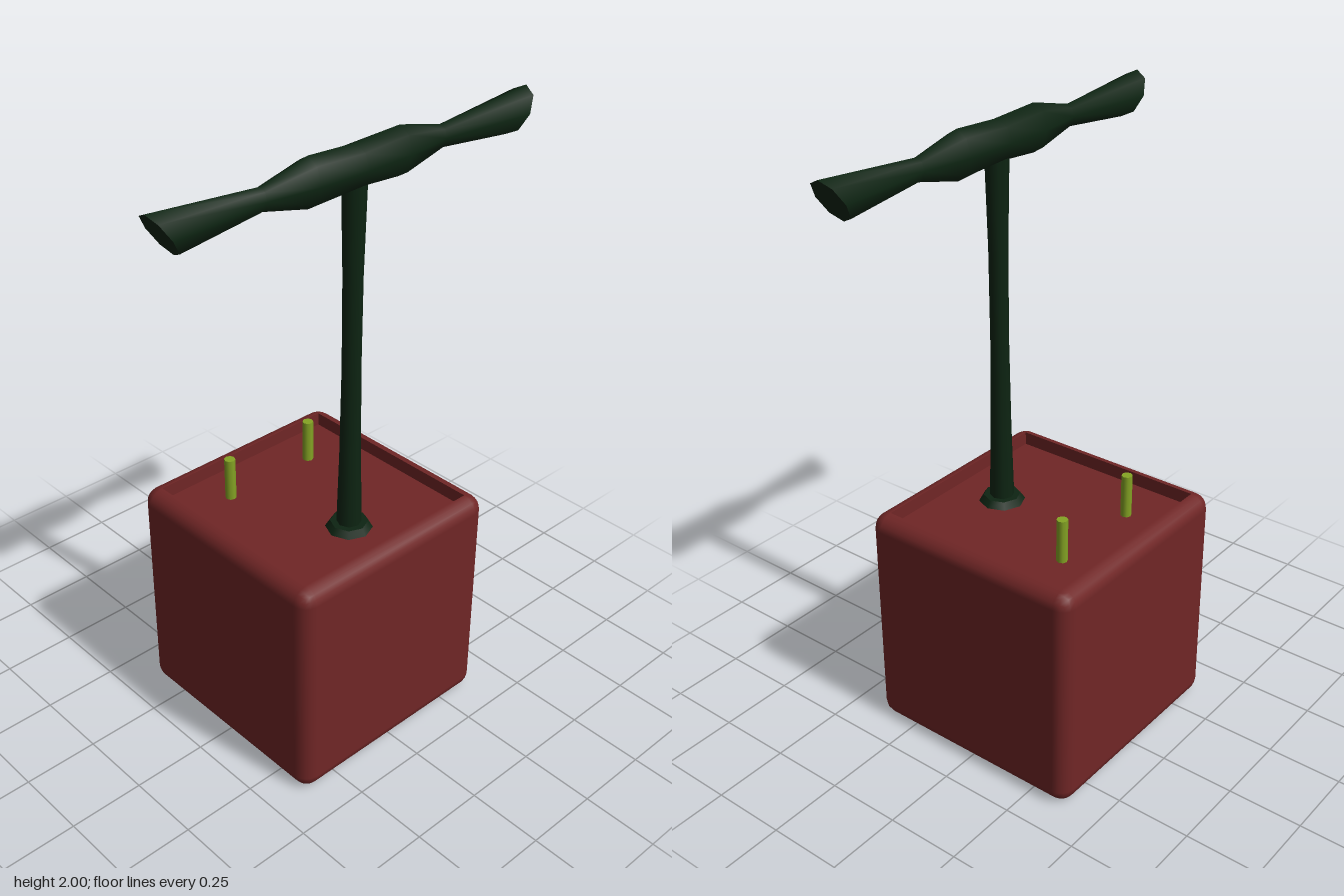
import * as THREE from 'three';
import { RoundedBoxGeometry } from 'three/addons/geometries/RoundedBoxGeometry.js';

const HALF = 0.39, RIM = 0.34, TOP = 0.78, FLOOR = 0.735;
const POST_X = 0.167;

const red = new THREE.MeshStandardMaterial({ color: 0x702626 });
red.name = 'dark red';
const green = new THREE.MeshStandardMaterial({ color: 0x0d2412 });
green.name = 'dark green';
const lime = new THREE.MeshStandardMaterial({ color: 0x84a324 });
lime.name = 'lime green';

function add(parent, name, geometry, material, x = 0, y = 0, z = 0) {
  const mesh = new THREE.Mesh(geometry, material);
  mesh.name = name;
  mesh.position.set(x, y, z);
  parent.add(mesh);
  return mesh;
}

// Bevelled cube whose flat top panel is removed to open the recess
function openBox() {
  const source = new RoundedBoxGeometry(HALF * 2, TOP, HALF * 2, 2, HALF - RIM);
  const p = source.attributes.position, n = source.attributes.normal;
  const positions = [], normals = [];
  for (let i = 0; i < p.count; i += 3) {
    if ([0, 1, 2].every((k) => p.getY(i + k) > HALF - 0.0001)) continue;
    for (let k = i; k < i + 3; k++) {
      positions.push(p.getX(k), p.getY(k), p.getZ(k));
      normals.push(n.getX(k), n.getY(k), n.getZ(k));
    }
  }
  const g = new THREE.BufferGeometry();
  g.setAttribute('position', new THREE.Float32BufferAttribute(positions, 3));
  g.setAttribute('normal', new THREE.Float32BufferAttribute(normals, 3));
  return g;
}

// Eight-sided grip along z; stations are [z, centreY, halfWidth, halfHeight, slant]
function gripGeometry(stations, sides = 8) {
  const positions = [], index = [];
  const ring = ([z, cy, rx, ry, slant]) => {
    const start = positions.length / 3;
    for (let j = 0; j < sides; j++) {
      const a = (j / sides) * Math.PI * 2;
      positions.push(rx * Math.cos(a), cy + ry * Math.sin(a), z + slant * Math.sin(a));
    }
    return start;
  };
  const starts = stations.map(ring);
  for (let i = 0; i + 1 < starts.length; i++) {
    for (let j = 0; j < sides; j++) {
      const k = (j + 1) % sides;
      const a = starts[i] + j, b = starts[i] + k, c = starts[i + 1] + k, d = starts[i + 1] + j;
      index.push(a, b, c, a, c, d);
    }
  }
  // Slanted end caps with their own vertices for a crisp edge
  const back = ring(stations[0]), front = ring(stations[stations.length - 1]);
  for (let j = 1; j + 1 < sides; j++) {
    index.push(back, back + j + 1, back + j, front, front + j, front + j + 1);
  }
  const g = new THREE.BufferGeometry();
  g.setAttribute('position', new THREE.Float32BufferAttribute(positions, 3));
  g.setIndex(index);
  g.computeVertexNormals();
  return g;
}

export function createModel() {
  const model = new THREE.Group();
  model.name = 'plungerBox';

  // Box and its shallow recessed top
  add(model, 'box', openBox(), red, 0, TOP / 2, 0);
  const recess = new THREE.Group();
  recess.name = 'recess';
  model.add(recess);
  add(recess, 'recessFloor', new THREE.PlaneGeometry(RIM * 2, RIM * 2).rotateX(-Math.PI / 2), red, 0, FLOOR, 0);
  for (let i = 0; i < 4; i++) {
    const wall = new THREE.PlaneGeometry(RIM * 2, TOP - FLOOR)
      .translate(0, (TOP + FLOOR) / 2, -RIM)
      .rotateY((i * Math.PI) / 2);
    add(recess, 'recessWall', wall, red);
  }

  // Two terminal pegs
  for (const side of [-1, 1]) {
    add(model, 'terminalPeg', new THREE.CylinderGeometry(0.018, 0.018, 0.145, 8), lime,
      -0.206, FLOOR + 0.0725, side * 0.168);
  }

  // Collar around the foot of the post
  add(model, 'collar', new THREE.CylinderGeometry(0.06, 0.075, 0.022, 8).rotateY(Math.PI / 2), green,
    POST_X, FLOOR + 0.011, 0);

  // Post, slimmest in the middle
  const postProfile = [[0.04, FLOOR], [0.033, 1.0], [0.029, 1.3], [0.03, 1.6], [0.037, 1.9]]
    .map(([r, y]) => new THREE.Vector2(r, y));
  add(model, 'post', new THREE.LatheGeometry(postProfile, 8), green, POST_X, 0, 0);

  // Cross handle, mirrored front to back
  const half = [
    [0.17, 1.925, 0.05, 0.075, 0],
    [0.335, 1.925, 0.026, 0.035, 0],
    [0.66, 1.925, 0.056, 0.066, 0.041],
  ];
  const mirrored = half.map(([z, cy, rx, ry, s]) => [-z, cy, rx, ry, -s]).reverse();
  add(model, 'handle', gripGeometry([...mirrored, [0, 1.927, 0.057, 0.064, 0], ...half]), green, POST_X, 0, 0);

  return model;
}
